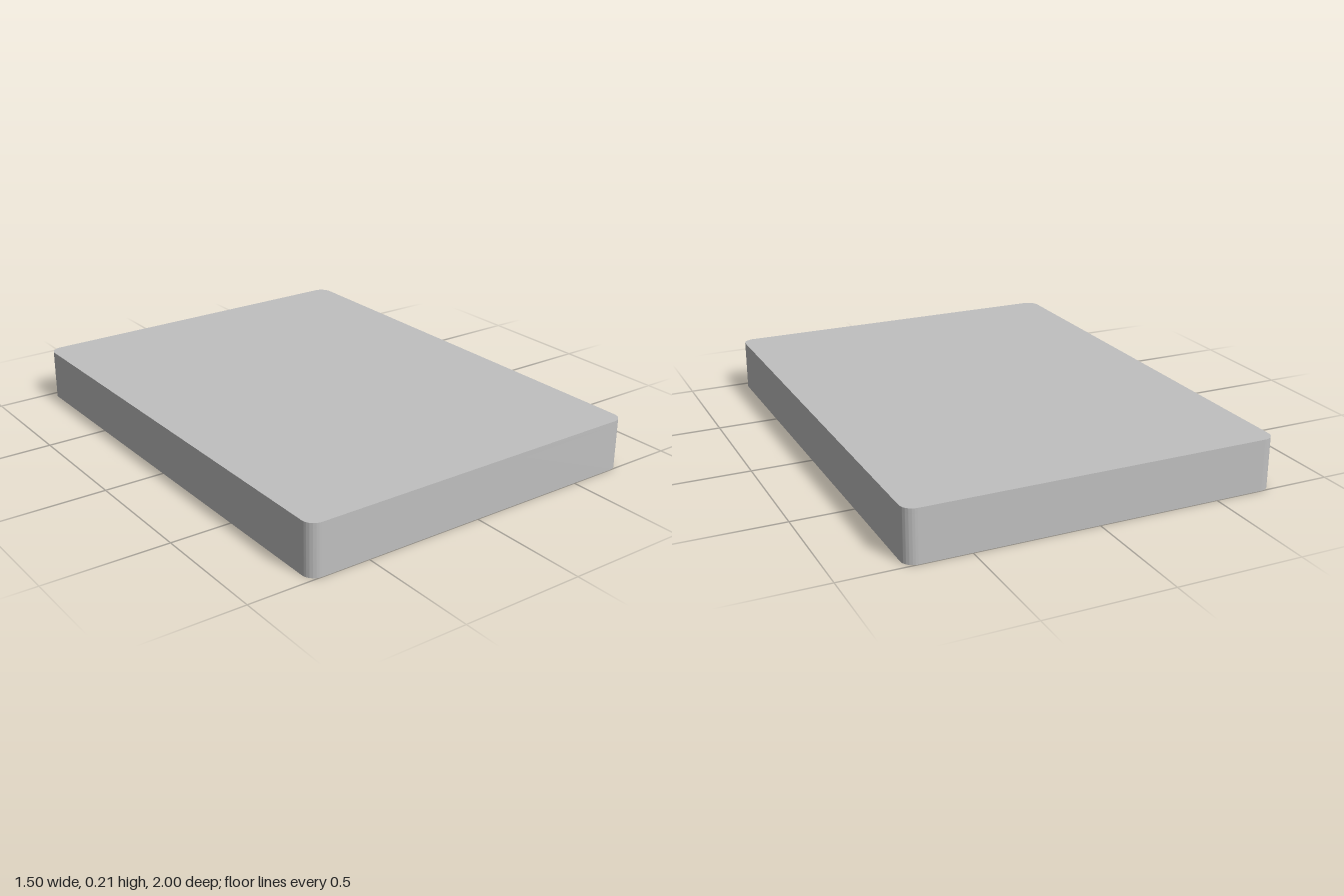
import * as THREE from 'three';
import { toCreasedNormals } from 'three/addons/utils/BufferGeometryUtils.js';

const W = 1.5, D = 2, H = 0.21, T = 0.02, R = 0.05;

// Rounded rectangle centred on the origin
function roundedRect(path, w, d, r) {
  const x = w / 2, y = d / 2;
  path.moveTo(x, -y + r);
  path.lineTo(x, y - r);
  path.absarc(x - r, y - r, r, 0, Math.PI / 2);
  path.lineTo(-x + r, y);
  path.absarc(-x + r, y - r, r, Math.PI / 2, Math.PI);
  path.lineTo(-x, -y + r);
  path.absarc(-x + r, -y + r, r, Math.PI, Math.PI * 1.5);
  path.lineTo(x - r, -y);
  path.absarc(x - r, -y + r, r, Math.PI * 1.5, Math.PI * 2);
  return path;
}

// Extrude a plan shape upwards from y0
function extrudeUp(shape, height, y0) {
  const geo = new THREE.ExtrudeGeometry(shape, { depth: height, bevelEnabled: false, curveSegments: 16 });
  geo.rotateX(-Math.PI / 2);
  geo.translate(0, y0, 0);
  return toCreasedNormals(geo, 0.6);
}

export function createModel() {
  const group = new THREE.Group();
  const grey = new THREE.MeshStandardMaterial({ color: 0xc0c0c0 });
  grey.name = 'light grey';

  const add = (name, geo, x = 0, z = 0) => {
    const mesh = new THREE.Mesh(geo, grey);
    mesh.name = name;
    mesh.position.set(x, 0, z);
    group.add(mesh);
  };

  // Flat lid
  add('topPlate', extrudeUp(roundedRect(new THREE.Shape(), W, D, R), T, H - T));

  // Thin surrounding wall, open below
  const wall = roundedRect(new THREE.Shape(), W, D, R);
  wall.holes.push(roundedRect(new THREE.Path(), W - 2 * T, D - 2 * T, R - T));
  add('sideWall', extrudeUp(wall, H - T, 0));

  // Round corner posts with a rectangular slot
  const postRadius = 0.073;
  const post = new THREE.Shape().absarc(0, 0, postRadius, 0, Math.PI * 2);
  const sx = 0.04, sz = 0.018;
  post.holes.push(new THREE.Path([
    new THREE.Vector2(-sx, -sz), new THREE.Vector2(-sx, sz),
    new THREE.Vector2(sx, sz), new THREE.Vector2(sx, -sz),
  ]));
  const postGeo = extrudeUp(post, H - T, 0);
  const px = W / 2 - T - postRadius, pz = D / 2 - T - postRadius;
  for (const x of [-1, 1]) {
    for (const z of [-1, 1]) {
      add(`${z > 0 ? 'front' : 'back'}${x > 0 ? 'Left' : 'Right'}Post`, postGeo, x * px, z * pz);
    }
  }
  return group;
}
